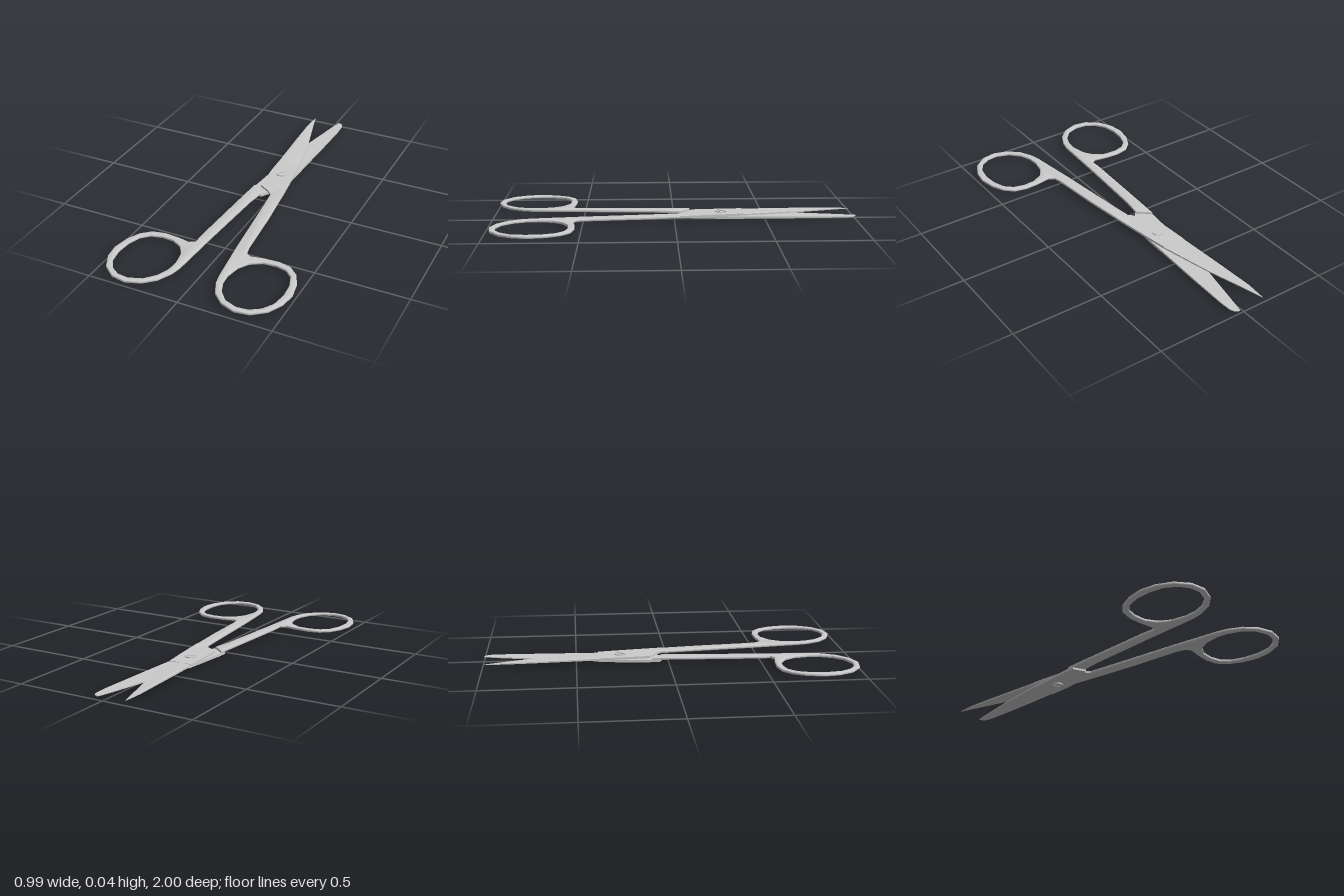
import * as THREE from 'three';
import { toCreasedNormals } from 'three/addons/utils/BufferGeometryUtils.js';

const MID = 0.021; // height where the two halves slide on each other
const material = new THREE.MeshStandardMaterial({ color: 0xcccccc });

function mesh(name, geometry, crease = 0.6) {
  const m = new THREE.Mesh(toCreasedNormals(geometry, crease), material);
  m.name = name;
  return m;
}

// Outline given as [x, z] pairs, extruded upward from y0 to y1
function slab(name, outline, holes, y0, y1, bevel = 0) {
  // Outlines run counter-clockwise and holes clockwise
  const wind = (list, clockwise) => {
    const pts = list.map(([x, z]) => new THREE.Vector2(x, -z));
    return THREE.ShapeUtils.isClockWise(pts) === clockwise ? pts : pts.reverse();
  };
  const shape = new THREE.Shape(wind(outline, false));
  holes.forEach((h) => shape.holes.push(new THREE.Path(wind(h, true))));
  const thick = bevel * 0.65;
  const geo = new THREE.ExtrudeGeometry(shape, {
    depth: y1 - y0 - 2 * thick,
    bevelEnabled: bevel > 0,
    bevelSize: bevel,
    bevelOffset: -bevel,
    bevelThickness: thick,
    bevelSegments: 2,
  });
  geo.rotateX(-Math.PI / 2);
  geo.translate(0, y0 + thick, 0);
  return mesh(name, geo);
}

// Blade lofted through stations [z, spine x, ridge x, edge x, height]; dir -1 puts it below
function blade(name, stations, dir) {
  const rings = stations.map(([z, spine, ridge, edge, h]) =>
    [[spine, 0], [spine, 0.8 * h], [ridge, h], [edge, 0.65 * h], [edge, 0]]
      .map(([x, y]) => [x, MID + dir * y, z]));
  const pos = [];
  const tri = (a, b, c) => pos.push(...a, ...b, ...c);
  const n = 5;
  for (let i = 0; i < rings.length - 1; i++) {
    for (let j = 0; j < n; j++) {
      const k = (j + 1) % n;
      const [p, q] = [rings[i], rings[i + 1]];
      tri(p[j], p[k], q[k]);
      tri(p[j], q[k], q[j]);
    }
  }
  const first = rings[0], last = rings[rings.length - 1];
  for (let j = 1; j < n - 1; j++) {
    tri(first[0], first[j + 1], first[j]);
    tri(last[0], last[j], last[j + 1]);
  }
  const geo = new THREE.BufferGeometry();
  geo.setAttribute('position', new THREE.Float32BufferAttribute(pos, 3));
  return mesh(name, geo, 0.1);
}

// Finger ring contours, shared by both handles
const ringOuter = [
  [0.14, 0.53], [0.17, 0.548], [0.24, 0.535], [0.32, 0.53], [0.39, 0.545], [0.44, 0.59],
  [0.475, 0.66], [0.492, 0.75], [0.48, 0.83], [0.44, 0.91], [0.37, 0.965], [0.29, 0.978],
  [0.21, 0.95], [0.15, 0.895], [0.113, 0.82], [0.1, 0.76],
];
const ringHole = [
  [0.14, 0.74], [0.155, 0.66], [0.19, 0.605], [0.25, 0.57], [0.32, 0.565], [0.38, 0.58],
  [0.422, 0.62], [0.446, 0.69], [0.452, 0.77], [0.438, 0.85], [0.402, 0.905], [0.35, 0.938],
  [0.29, 0.945], [0.22, 0.92], [0.17, 0.865], [0.145, 0.8],
];
const mirror = (list) => list.map(([x, z]) => [-x - 0.005, z + 0.02]);

// Points on an arc; a full turn leaves out the repeated last point
function circle(cx, cz, r, from = 0, to = Math.PI * 2, n = 20) {
  const steps = to - from > 6 ? n : n - 1;
  return Array.from({ length: n }, (_, i) => {
    const a = from + ((to - from) * i) / steps;
    return [cx + r * Math.cos(a), cz + r * Math.sin(a)];
  });
}

export function createModel() {
  const model = new THREE.Group();
  model.name = 'scissors';

  // Upper half: left pointed blade, pivot plate and right-hand shank with ring
  const upper = new THREE.Group();
  upper.name = 'upperHalf';
  upper.add(
    blade('pointedBlade', [
      [-0.38, -0.105, -0.055, 0.025, 0.012],
      [-0.55, -0.115, -0.1, -0.012, 0.0115],
      [-0.68, -0.123, -0.111, -0.041, 0.0105],
      [-0.88, -0.134, -0.127, -0.098, 0.008],
      [-0.99, -0.13, -0.129, -0.128, 0.003],
    ], 1),
    slab('upperPivotPlate', [
      [-0.105, -0.38], [0.025, -0.38], [0.042, -0.27], [0.066, -0.1], [0.075, -0.03],
      [0.005, -0.035], [-0.02, -0.06], [-0.085, -0.1], [-0.1, -0.28],
    ], [], MID, 0.033),
    slab('upperHandle', [
      [0.005, -0.035], [0.03, -0.09], [0.066, -0.1], [0.103, 0.2], [0.128, 0.48],
      ...ringOuter, [0.066, 0.5], [0.02, 0.08],
    ], [ringHole], 0.018, 0.034, 0.008),
  );

  // Lower half: right blunt blade, pivot plate and left-hand shank with ring stepped up to it
  const lower = new THREE.Group();
  lower.name = 'lowerHalf';
  lower.add(
    blade('bluntBlade', [
      [-0.38, 0.045, 0.0, -0.09, 0.014],
      [-0.55, 0.052, 0.037, -0.064, 0.013],
      [-0.68, 0.057, 0.046, -0.041, 0.012],
      [-0.9, 0.064, 0.057, 0.003, 0.008],
      [-0.97, 0.061, 0.054, 0.018, 0.006],
      [-0.992, 0.05, 0.043, 0.023, 0.005],
      [-1.0, 0.035, 0.03, 0.025, 0.004],
    ], -1),
    slab('lowerPivotPlate', [
      [-0.09, -0.38], [0.045, -0.38], [0.041, -0.27], [0.022, -0.1], [-0.02, -0.062],
      [-0.047, -0.02], [-0.118, -0.05], [-0.117, -0.1], [-0.1, -0.28],
    ], [], 0.007, MID),
    slab('lowerHandle', [
      [-0.046, -0.03], [-0.117, -0.09], [-0.128, 0.1], [-0.147, 0.49],
      ...mirror(ringOuter), [-0.09, 0.5], [-0.062, 0.08],
    ], [mirror(ringHole)], 0.018, 0.034, 0.008),
  );

  // Pivot screw: slotted head on top, nut with two holes underneath
  const screw = new THREE.Group();
  screw.name = 'pivotScrew';
  const [sx, sz, r] = [-0.03, -0.26, 0.032];
  screw.add(slab('screwBody', circle(sx, sz, r), [], 0.004, 0.0345));
  for (const a of [Math.PI / 4, -Math.PI * 0.75]) {
    screw.add(slab('screwHeadHalf',
      circle(sx, sz, r, a - Math.PI / 2 + 0.16, a + Math.PI / 2 - 0.16, 12), [], 0.0345, 0.038));
  }
  const nutHoles = [-0.014, 0.014].map((dx) => circle(sx + dx, sz, 0.009, 0, Math.PI * 2, 10));
  screw.add(slab('screwNut', circle(sx, sz, r), nutHoles, 0, 0.004));

  model.add(upper, lower, screw);
  return model;
}
